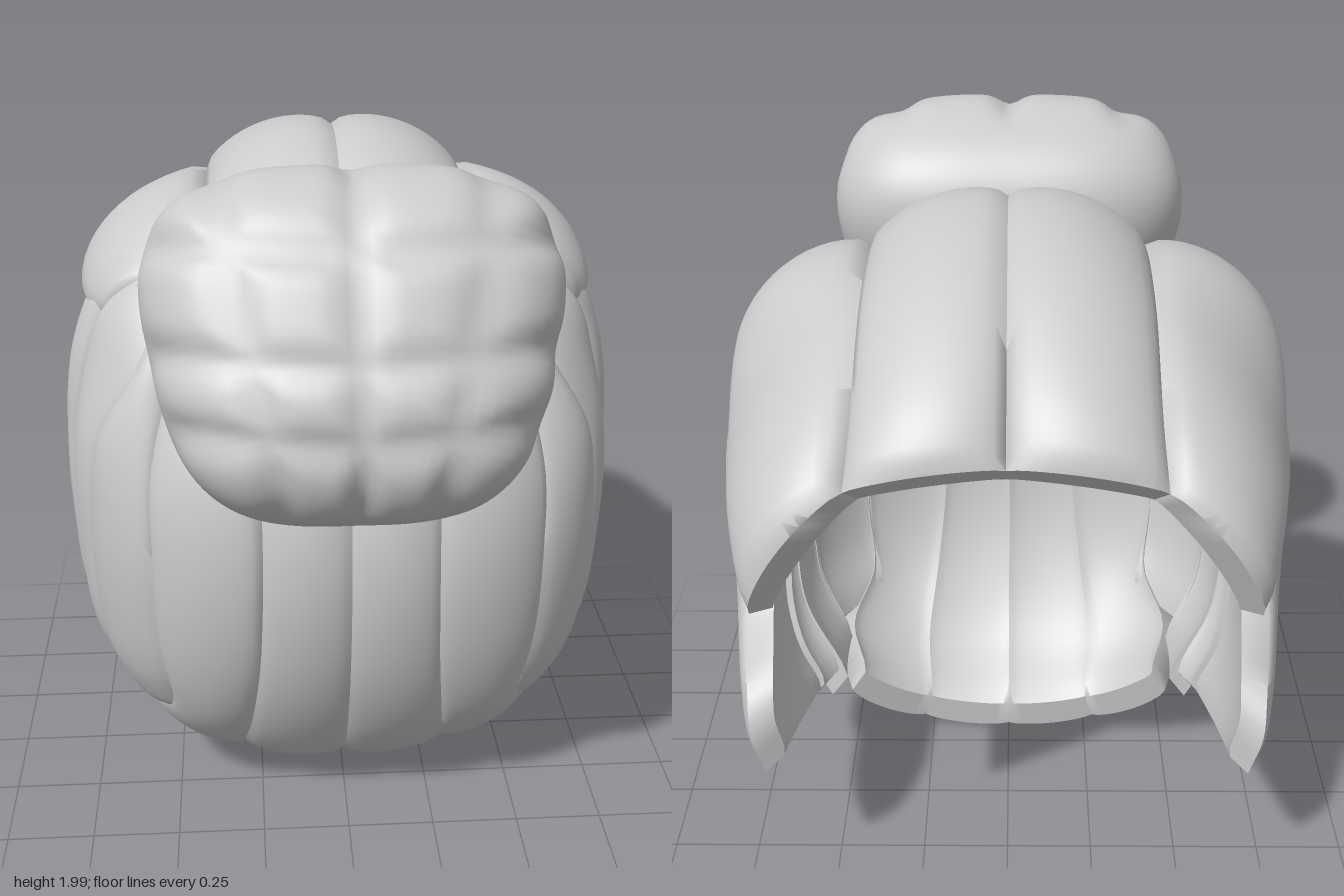
import * as THREE from 'three';
import { toCreasedNormals, mergeVertices } from 'three/addons/utils/BufferGeometryUtils.js';

const V = (x, y, z) => new THREE.Vector3(x, y, z);
const material = new THREE.MeshStandardMaterial({ color: 0xcccccc });

// Linear lookup in a list of [key, value] pairs
function lookup(table, k) {
  if (k <= table[0][0]) return table[0][1];
  for (let i = 1; i < table.length; i++) {
    const [a, va] = table[i - 1], [b, vb] = table[i];
    if (k <= b) return va + (vb - va) * (k - a) / (b - a);
  }
  return table[table.length - 1][1];
}

// Head form: half width and depth by height, joined by a rounded-square section
const halfWidth = y => lookup([[0, 0.25], [0.1, 0.4], [0.2, 0.52], [0.3, 0.62], [0.45, 0.7], [0.6, 0.74],
  [0.9, 0.75], [1.2, 0.745], [1.4, 0.71], [1.5, 0.68], [1.65, 0.58], [1.75, 0.5]], y);
const depth = y => lookup([[0, 0.06], [0.05, 0.18], [0.1, 0.26], [0.25, 0.4], [0.5, 0.53], [0.7, 0.58],
  [0.95, 0.6], [1.1, 0.58], [1.3, 0.49], [1.5, 0.36], [1.62, 0.22], [1.7, 0.13]], y);
const byAngle = ([y, t]) => V(halfWidth(y) * Math.sin(t) ** 0.8, y, depth(y) * Math.cos(t) ** 0.8);
const byDepth = ([y, z]) => {
  const k = z > 0 ? (1 - Math.min(0.97, z / depth(y)) ** 2.5) ** 0.4 : 1 - 0.12 * z * z;
  return V(halfWidth(y) * k, y, z);
};

// Skin closed rings, cap both ends and turn the faces outward
function skin(rings) {
  const n = rings[0].length, pos = [], index = [];
  rings.forEach(r => r.forEach(p => pos.push(p.x, p.y, p.z)));
  for (let i = 0; i < rings.length - 1; i++) {
    for (let j = 0; j < n; j++) {
      const a = i * n + j, b = i * n + (j + 1) % n;
      index.push(a, b, a + n, b, b + n, a + n);
    }
  }
  const last = (rings.length - 1) * n;
  for (let j = 0; j < n / 2 - 1; j++) {
    const k = n - 1 - j;
    index.push(j, k, j + 1, j + 1, k, k - 1);
    index.push(last + j, last + j + 1, last + k, last + j + 1, last + k - 1, last + k);
  }
  const at = i => V(pos[3 * i], pos[3 * i + 1], pos[3 * i + 2]);
  let volume = 0;
  for (let i = 0; i < index.length; i += 3) {
    volume += at(index[i]).dot(at(index[i + 1]).cross(at(index[i + 2])));
  }
  if (volume < 0) index.reverse();
  const geo = new THREE.BufferGeometry();
  geo.setAttribute('position', new THREE.Float32BufferAttribute(pos, 3));
  geo.setIndex(index);
  return toCreasedNormals(geo, 0.9);
}

// A puffed lock of hair between two edge curves, hollowed inside and softened at its ends
function lock(edgeA, edgeB, bulge, thick, side) {
  const a = new THREE.CatmullRomCurve3(edgeA), b = new THREE.CatmullRomCurve3(edgeB);
  const rows = 36, cols = 14, rings = [];
  for (let i = 0; i <= rows; i++) {
    const v = i / rows, p = a.getPoint(v), q = b.getPoint(v);
    const end = Math.min(1, Math.min(v, 1 - v) / 0.08);
    const round = Math.sqrt(end * (2 - end));
    const puff = bulge * (0.6 + 0.4 * round), wall = thick * (0.85 + 0.15 * round);
    const outer = [], inner = [];
    for (let j = 0; j <= cols; j++) {
      const u = j / cols, m = p.clone().lerp(q, u);
      const out = m.clone().sub(V(0, 1, THREE.MathUtils.clamp(m.z * 0.6, -0.4, 0))).normalize();
      const h = Math.max(0, Math.sin(Math.PI * u)) ** 0.65;
      outer.push(m.clone().addScaledVector(out, puff * h));
      inner.unshift(m.clone().addScaledVector(out, puff * h * 0.6 - wall));
    }
    const ring = outer.concat(inner);
    ring.forEach(r => { r.x *= side; });
    rings.push(ring);
  }
  return skin(rings);
}

// Bun: a squarish ball, narrower below, with a grid of soft lumps on its outer face
function bunGeometry() {
  let geo = new THREE.SphereGeometry(1, 96, 64);
  geo.deleteAttribute('uv');
  geo.deleteAttribute('normal');
  geo = mergeVertices(geo, 1e-4);
  const p = geo.attributes.position;
  const groove = (s, width) => Math.exp(-((s / width) ** 2));
  for (let i = 0; i < p.count; i++) {
    const d = V(p.getX(i), p.getY(i), p.getZ(i));
    const flat = (Math.abs(d.x) ** 3.4 + Math.abs(d.y) ** 3.4) ** (1 / 3.4);
    d.divideScalar((flat ** 2.5 + Math.abs(d.z) ** 2.5) ** 0.4);
    const face = THREE.MathUtils.smoothstep(d.z, -0.1, 0.5);
    const x = Math.abs(d.x);
    let cut = Math.max(groove(d.x, 0.08), 0.7 * groove(x - 0.55 - 0.1 * d.y, 0.1));
    for (const row of [-0.62, -0.2, 0.42]) cut = Math.max(cut, 0.8 * groove(d.y - row - 0.15 * x * x, 0.1));
    d.multiplyScalar(1.02 - face * 0.07 * cut);
    const taper = 1 + 0.16 * d.y - 0.12 * Math.max(0, d.y) ** 2;
    p.setXYZ(i, d.x * 0.5 * taper, d.y * 0.435, d.z * 0.31);
  }
  geo.computeVertexNormals();
  return geo;
}

export function createModel() {
  const model = new THREE.Group();
  const add = (name, geo) => {
    const mesh = new THREE.Mesh(geo, material);
    mesh.name = name;
    model.add(mesh);
    return mesh;
  };

  // Long locks of the main panel
  const centre = [1.66, 1.4, 1.15, 0.9, 0.6, 0.35, 0.15, 0.01].map(y => byAngle([y, 0]));
  const seam = [[1.64, 0.24], [1.4, 0.24], [1.15, 0.24], [0.9, 0.24], [0.6, 0.26], [0.35, 0.35],
    [0.16, 0.6], [0.04, 1.05]].map(byAngle);
  const panelEdge = [[1.58, 0.5], [1.4, 0.62], [1.15, 0.71], [0.9, 0.72], [0.6, 0.72], [0.4, 0.78],
    [0.28, 1.2], [0.19, 1.54]].map(byAngle);

  // Seam shared by the middle and rear side locks
  const sideSeam = [[1.52, -0.12], [1.3, -0.11], [1, -0.09], [0.8, -0.1], [0.6, -0.14], [0.45, -0.18],
    [0.31, -0.2]].map(byDepth);

  // Top locks running from the bun to the fringe
  const crownSeam = [V(0, 1.64, 0.22), V(0, 1.79, 0.13), V(0, 1.87, 0), V(0, 1.91, -0.2),
    V(0, 1.85, -0.5), V(0, 1.67, -0.8), V(0, 1.53, -0.925)];
  const crownEdge = [V(0.35, 1.56, 0.19), V(0.36, 1.66, 0.11), V(0.37, 1.73, 0), V(0.37, 1.77, -0.2),
    V(0.37, 1.73, -0.5), V(0.37, 1.58, -0.8), V(0.38, 1.47, -0.925)];
  const fringeEdge = [V(0.64, 1.48, 0.13), V(0.67, 1.46, 0.08), V(0.71, 1.47, 0), V(0.73, 1.48, -0.2),
    V(0.72, 1.28, -0.48), V(0.68, 1.25, -0.72), V(0.62, 1.14, -0.935)];

  const locks = [
    ['panelInnerLock', centre, seam, 0.035, 0.1],
    ['panelOuterLock', seam, panelEdge, 0.05, 0.1],
    ['frontSideLock',
      [[1.55, 0.5], [1.4, 0.6], [1.2, 0.68], [0.95, 0.71], [0.7, 0.71], [0.5, 0.72], [0.34, 0.74]].map(byAngle),
      [[1.56, 0.22], [1.42, 0.31], [1.2, 0.3], [0.95, 0.27], [0.7, 0.24], [0.5, 0.2], [0.32, 0.15]].map(byDepth),
      0.045, 0.1],
    ['secondSideLock',
      [[1.63, 0.18], [1.5, 0.29], [1.35, 0.33], [1.15, 0.3], [0.8, 0.26], [0.5, 0.21], [0.26, 0.14]].map(byDepth),
      [[1.64, 0.12], [1.5, 0.13], [1.35, 0.11], [1.15, 0.09], [0.8, 0.05], [0.5, -0.01], [0.24, -0.07]].map(byDepth),
      0.035, 0.1],
    ['thirdSideLock',
      [[1.52, 0.12], [1.3, 0.1], [1, 0.07], [0.8, 0.05], [0.6, 0.01], [0.45, -0.02], [0.27, -0.07]].map(byDepth),
      sideSeam, 0.05, 0.1],
    ['rearSideLock', sideSeam,
      [[1.4, -0.4], [1.22, -0.48], [0.97, -0.385], [0.84, -0.43], [0.69, -0.68], [0.6, -0.73],
        [0.47, -0.72]].map(byDepth),
      0.045, 0.08],
    ['crownLock', crownSeam, crownEdge, 0.075, 0.08],
    ['fringeLock', crownEdge, fringeEdge, 0.105, 0.08],
  ];
  for (const [name, a, b, bulge, thick] of locks) {
    add(name + 'Left', lock(a, b, bulge, thick, 1));
    add(name + 'Right', lock(a, b, bulge, thick, -1));
  }

  // Bun, tilted back
  const bun = add('bun', bunGeometry());
  bun.position.set(0, 1.555, 0.6);
  bun.rotation.x = -0.48;

  return model;
}
